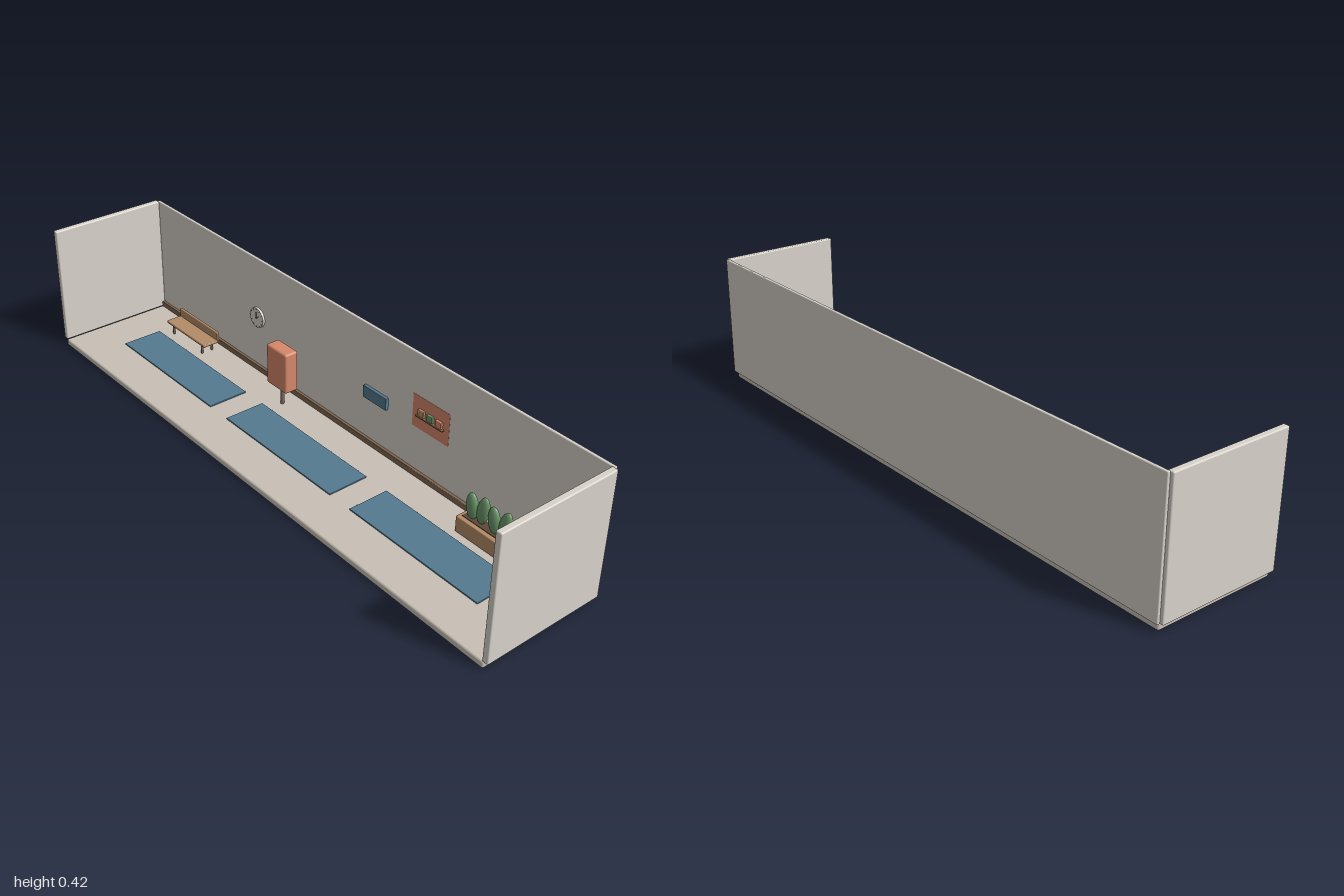
import * as THREE from 'three';
import { RoundedBoxGeometry } from 'three/addons/geometries/RoundedBoxGeometry.js';

const COLORS = {
  wall: 0xd8d3cb, floor: 0xc8c0b6, rug: 0x557a90, wood: 0xb48c68, skirting: 0x806650,
  orange: 0xd5876a, leaf: 0x6a9468, dark: 0x4a4640, soil: 0x5c4838, metal: 0x75695c,
};

export function createModel() {
  const room = new THREE.Group();
  room.name = 'room';

  const mats = {};
  for (const key in COLORS) mats[key] = new THREE.MeshStandardMaterial({ color: COLORS[key] });

  function add(parent, name, geometry, mat, x = 0, y = 0, z = 0) {
    const mesh = new THREE.Mesh(geometry, mats[mat]);
    mesh.name = name;
    mesh.position.set(x, y, z);
    parent.add(mesh);
    return mesh;
  }

  // Box given by its extents, with softly rounded edges when r > 0
  function box(parent, name, mat, [x0, x1], [y0, y1], [z0, z1], r = 0) {
    const size = [x1 - x0, y1 - y0, z1 - z0];
    const geometry = r ? new RoundedBoxGeometry(...size, 3, r) : new THREE.BoxGeometry(...size);
    return add(parent, name, geometry, mat, (x0 + x1) / 2, (y0 + y1) / 2, (z0 + z1) / 2);
  }

  function group(name) {
    const g = new THREE.Group();
    g.name = name;
    room.add(g);
    return g;
  }

  // Shell
  box(room, 'floor', 'floor', [-0.985, 0.985], [0, 0.023], [-0.192, 0.203], 0.006);
  box(room, 'backWall', 'wall', [-0.99, 0.99], [0.023, 0.42], [-0.202, -0.192], 0.003);
  for (const s of [-1, 1]) {
    const xs = s < 0 ? [-1, -0.98] : [0.98, 1];
    box(room, s < 0 ? 'rightWall' : 'leftWall', 'wall', xs, [0.023, 0.42], [-0.193, 0.203], 0.004);
  }
  box(room, 'skirting', 'skirting', [-0.98, 0.98], [0.023, 0.042], [-0.192, -0.181], 0.002);

  // Rugs
  for (const x of [-0.582, 0, 0.582]) {
    box(room, 'rug', 'rug', [x - 0.248, x + 0.248], [0.022, 0.027], [-0.07, 0.067], 0.001);
  }

  // Bench
  const bench = group('bench');
  box(bench, 'seat', 'wood', [-0.817, -0.597], [0.056, 0.066], [-0.152, -0.094], 0.003);
  box(bench, 'backrest', 'wood', [-0.817, -0.597], [0.063, 0.095], [-0.157, -0.148], 0.003);
  for (const x of [-0.79, -0.623]) {
    for (const z of [-0.142, -0.104]) {
      add(bench, 'leg', new THREE.CylinderGeometry(0.004, 0.004, 0.034, 12), 'metal', x, 0.04, z);
    }
  }

  // Clock
  const clock = group('clock');
  clock.position.set(-0.425, 0.215, -0.188);
  add(clock, 'face', new THREE.CylinderGeometry(0.034, 0.034, 0.008, 40), 'wall').rotation.x = Math.PI / 2;
  for (let i = 0; i < 12; i++) {
    const a = (i / 12) * Math.PI * 2;
    const tick = add(clock, 'tick', new THREE.BoxGeometry(0.002, 0.004, 0.002), 'dark',
      Math.sin(a) * 0.03, Math.cos(a) * 0.03, 0.004);
    tick.rotation.z = -a;
  }
  for (const [a, length] of [[0, 0.02], [0.95, 0.013]]) {
    const hand = add(clock, 'hand', new THREE.BoxGeometry(0.003, length, 0.002), 'dark',
      Math.sin(a) * length / 2, Math.cos(a) * length / 2, 0.005);
    hand.rotation.z = -a;
  }
  add(clock, 'hub', new THREE.SphereGeometry(0.003, 12, 8), 'dark', 0, 0, 0.005);

  // Standing kiosk
  const kiosk = group('kiosk');
  box(kiosk, 'cabinet', 'orange', [-0.263, -0.166], [0.086, 0.224], [-0.148, -0.1], 0.007);
  add(kiosk, 'post', new THREE.CylinderGeometry(0.006, 0.006, 0.068, 16), 'metal', -0.214, 0.056, -0.124);

  // Wall panels and the little shelf display
  box(room, 'wallPanel', 'rug', [0.097, 0.197], [0.18, 0.22], [-0.192, -0.18], 0.002);
  box(room, 'poster', 'orange', [0.297, 0.443], [0.182, 0.288], [-0.196, -0.1914]);
  const display = group('display');
  box(display, 'shelf', 'skirting', [0.318, 0.424], [0.225, 0.229], [-0.192, -0.181]);
  ['wood', 'leaf', 'orange'].forEach((mat, i) => {
    const x = 0.336 + i * 0.035;
    box(display, 'item', mat, [x - 0.012, x + 0.012], [0.229, 0.25], [-0.192, -0.183], 0.002);
  });

  // Planter with leaves
  const planter = group('planter');
  box(planter, 'trough', 'wood', [0.582, 0.802], [0.024, 0.076], [-0.153, -0.095], 0.003);
  box(planter, 'soil', 'soil', [0.593, 0.791], [0.06, 0.078], [-0.14, -0.108]);
  for (let i = 0; i < 5; i++) {
    const tall = i % 2;
    const leaf = add(planter, 'leaf', new THREE.SphereGeometry(1, 20, 14), 'leaf',
      0.613 + i * 0.0405, tall ? 0.121 : 0.114, -0.123);
    leaf.scale.set(0.02, tall ? 0.046 : 0.042, 0.013);
    leaf.rotation.z = [0.08, -0.15, 0.12, -0.2, 0.18][i];
  }

  return room;
}
